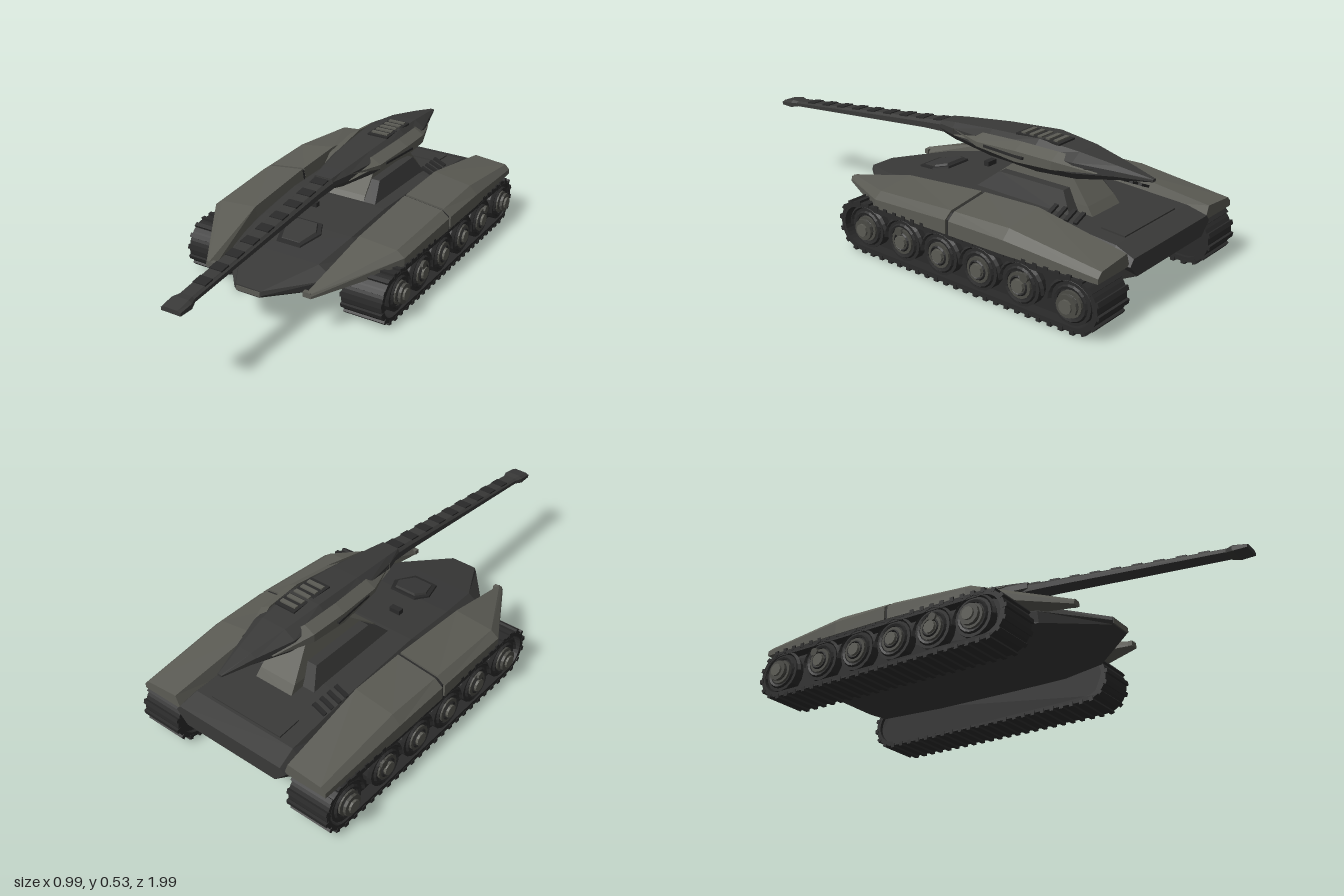
import * as THREE from 'three';

const paint = (name, color) => {
  const m = new THREE.MeshStandardMaterial({ color, flatShading: true });
  m.name = name;
  return m;
};

export function createModel() {
  const armor = paint('olive grey armour', 0x5b5b54);
  const hullMat = paint('dark grey hull', 0x393938);
  const trackMat = paint('black track', 0x2a2a2a);
  const steel = paint('wheel steel', 0x4a4a45);
  const model = new THREE.Group();

  const add = (name, geo, mat, x = 0, y = 0, z = 0, parent = model) => {
    const m = new THREE.Mesh(geo, mat);
    m.name = name;
    m.position.set(x, y, z);
    parent.add(m);
    return m;
  };
  const box = (w, h, d) => new THREE.BoxGeometry(w, h, d);

  // Skin a closed solid through convex rings; faces are turned outward by the sign of the volume.
  const loft = (rings) => {
    const tris = [], n = rings[0].length, last = rings.length - 1;
    for (let r = 0; r < last; r++) for (let i = 0; i < n; i++) {
      const j = (i + 1) % n, a = rings[r][i], b = rings[r][j], c = rings[r + 1][j], d = rings[r + 1][i];
      tris.push([a, b, c], [a, c, d]);
    }
    for (let i = 1; i < n - 1; i++) {
      tris.push([rings[0][0], rings[0][i + 1], rings[0][i]]);
      tris.push([rings[last][0], rings[last][i], rings[last][i + 1]]);
    }
    const o = new THREE.Vector3(...rings[0][0]);
    let volume = 0;
    for (const t of tris) {
      const [a, b, c] = t.map((p) => new THREE.Vector3(...p).sub(o));
      volume += a.dot(b.cross(c));
    }
    if (volume < 0) tris.forEach((t) => t.reverse());
    const g = new THREE.BufferGeometry();
    g.setAttribute('position', new THREE.Float32BufferAttribute(tris.flat(2), 3));
    g.computeVertexNormals();
    return g;
  };
  const rect = (x0, x1, z0, z1, y) => [[x0, y, z0], [x1, y, z0], [x1, y, z1], [x0, y, z1]];

  // Hull: z, bottom y / half width, side y / half width, deck y / half width
  add('hull', loft([
    [-0.98, 0.165, 0.22, 0.215, 0.27, 0.24, 0.25],
    [-0.90, 0.13, 0.24, 0.22, 0.28, 0.265, 0.24],
    [-0.60, 0.13, 0.27, 0.20, 0.28, 0.285, 0.23],
    [-0.20, 0.13, 0.28, 0.20, 0.28, 0.29, 0.22],
    [0.05, 0.13, 0.28, 0.20, 0.28, 0.265, 0.21],
    [0.25, 0.135, 0.24, 0.18, 0.25, 0.225, 0.18],
    [0.47, 0.145, 0.05, 0.158, 0.065, 0.175, 0.058],
  ].map(([z, yb, b, ym, m, yt, t]) => [
    [-b, yb, z], [b, yb, z], [m, ym, z], [t, yt, z], [-t, yt, z], [-m, ym, z],
  ])), hullMat);
  add('nosePlate', box(0.11, 0.02, 0.008), armor, 0, 0.16, 0.469);
  add('rearDeckPanel', box(0.34, 0.008, 0.1), hullMat, 0, 0.271, -0.84).rotation.x = -0.066;

  // Driver hatch lying on the sloping front deck
  const hatch = (s, lift) => [[-0.06, 0.03], [0.06, 0.03], [0.09, 0.09], [0.055, 0.19], [-0.055, 0.19], [-0.09, 0.09]]
    .map(([x, z]) => [x * s, 0.275 - 0.2 * z + lift, 0.11 + (z - 0.11) * s]);
  add('hatchFrame', loft([hatch(1.05, -0.01), hatch(1, 0.007)]), trackMat);
  add('hatch', loft([hatch(0.85, 0), hatch(0.78, 0.013)]), hullMat);

  // Fenders: z, outer x, low y, outer y, shoulder x/y, ridge x/y, inner x
  const fender = [
    [-0.97, 0.45, 0.215, 0.235, 0.43, 0.255, 0.28, 0.268, 0.26],
    [-0.58, 0.465, 0.21, 0.265, 0.43, 0.30, 0.26, 0.326, 0.225],
    [-0.325, 0.465, 0.21, 0.265, 0.43, 0.293, 0.255, 0.316, 0.235],
    [-0.31, 0.465, 0.21, 0.265, 0.43, 0.293, 0.255, 0.316, 0.235],
    [0.06, 0.455, 0.205, 0.245, 0.42, 0.27, 0.25, 0.285, 0.235],
    [0.41, 0.246, 0.17, 0.18, 0.24, 0.188, 0.228, 0.195, 0.21],
  ];
  const fenderRing = (s, drop = 0) => ([z, xo, yl, yo, xs, ys, xr, yr, xi]) => [
    [s * (xo - drop), yl, z], [s * (xo - drop), yo, z], [s * xs, ys - drop, z],
    [s * xr, yr - drop, z], [s * xi, yl, z],
  ];

  // Track path around the two end wheels
  const R = 0.1, CY = 0.11, ZF = 0.145, ZR = -0.88;
  const stadium = (r) => {
    const s = new THREE.Shape();
    s.absarc(ZF, CY, r, -Math.PI / 2, Math.PI / 2, false);
    s.absarc(ZR, CY, r, Math.PI / 2, Math.PI * 1.5, false);
    s.closePath();
    return s;
  };
  const extrudeX = (shape, depth) => new THREE.ExtrudeGeometry(shape, { depth, bevelEnabled: false, curveSegments: 8 })
    .rotateY(-Math.PI / 2).translate(depth / 2, 0, 0); // shape x becomes z
  const beltShape = stadium(R);
  beltShape.holes.push(stadium(R - 0.02));
  const belt = extrudeX(beltShape, 0.18), core = extrudeX(stadium(R - 0.015), 0.12);
  const disc = (r, w, seg = 16) => new THREE.CylinderGeometry(r, r, w, seg).rotateZ(Math.PI / 2);
  const straight = ZF - ZR, arc = Math.PI * R, total = 2 * (straight + arc);

  const addTrack = (s, side) => {
    const g = new THREE.Group();
    g.name = side + 'Track';
    model.add(g);
    add('belt', belt, trackMat, s * 0.37, 0, 0, g);
    add('trackCore', core, trackMat, s * 0.355, 0, 0, g);
    const count = 56;
    for (let i = 0; i < count; i++) {
      // Walk along bottom, front arc, top, rear arc
      let d = (i / count) * total, z, y, a;
      if (d < straight) { z = ZR + d; a = -Math.PI / 2; y = CY - R; }
      else if ((d -= straight) < arc) { a = -Math.PI / 2 + d / R; z = ZF + R * Math.cos(a); y = CY + R * Math.sin(a); }
      else if ((d -= arc) < straight) { z = ZF - d; a = Math.PI / 2; y = CY + R; }
      else { a = Math.PI / 2 + (d - straight) / R; z = ZR + R * Math.cos(a); y = CY + R * Math.sin(a); }
      add('cleat', box(0.184, 0.03, 0.018), trackMat, s * 0.37, y, z, g).rotation.x = -a;
      g.children[g.children.length - 1].scale.y = 0.62;
      g.children[g.children.length - 1].rotation.x = Math.PI / 2 - a;
    }
    // Road wheels; the end pair carry longer hubs
    [0.1, -0.09, -0.278, -0.466, -0.654, -0.87].forEach((z, i) => {
      const end = i === 0 || i === 5;
      add('wheel', disc(0.082, 0.05), trackMat, s * 0.43, 0.115, z, g);
      add('wheelRim', new THREE.TorusGeometry(0.062, 0.008, 5, 18).rotateY(Math.PI / 2), trackMat, s * 0.457, 0.115, z, g);
      add('wheelDisc', disc(0.05, 0.02), steel, s * 0.456, 0.115, z, g);
      add('hubRing', new THREE.TorusGeometry(0.034, 0.005, 4, 16).rotateY(Math.PI / 2), trackMat, s * 0.467, 0.115, z, g);
      add('hub', disc(0.026, end ? 0.04 : 0.024, 10), armor, s * (end ? 0.474 : 0.466), 0.115, z, g);
      if (end) add('hubFlange', disc(0.043, 0.012, 12), steel, s * 0.479, 0.115, z, g);
      add('wheelArch', new THREE.TorusGeometry(0.094, 0.009, 4, 12, Math.PI).rotateY(Math.PI / 2), trackMat, s * 0.452, 0.105, z, g);
    });
    for (const z of [-0.08, -0.68]) add('returnRoller', disc(0.018, 0.05, 8), steel, s * 0.45, 0.155, z, g);
  };

  for (const [s, side] of [[1, 'left'], [-1, 'right']]) {
    add(side + 'RearFender', loft(fender.slice(0, 3).map(fenderRing(s))), armor);
    add(side + 'FenderSeam', loft(fender.slice(2, 4).map(fenderRing(s, 0.008))), trackMat);
    add(side + 'FrontFender', loft(fender.slice(3).map(fenderRing(s))), armor);
    add(side + 'FenderTipLamp', box(0.034, 0.02, 0.02), armor, s * 0.225, 0.182, 0.4);
    for (let i = 0; i < 4; i++)
      add(side + 'CoolingFin', box(0.06, 0.01, 0.016), trackMat, s * 0.212, 0.307, -0.725 + i * 0.04).rotation.z = -s * 0.4;
    addTrack(s, side);
  }

  // Turret pedestal with side pods, set slightly off centre
  add('pedestal', loft([rect(-0.065, 0.115, -0.72, -0.2, 0.27), rect(-0.06, 0.11, -0.69, -0.23, 0.31),
    rect(-0.03, 0.09, -0.59, -0.37, 0.42)]), armor);
  for (const s of [-1, 1])
    add('pedestalPod', loft([rect(0.025 + s * 0.08, 0.025 + s * 0.15, -0.66, -0.19, 0.27),
      rect(0.025 + s * 0.07, 0.025 + s * 0.115, -0.6, -0.3, 0.36)]), hullMat);
  add('deckPeriscope', box(0.05, 0.02, 0.025), trackMat, -0.06, 0.29, -0.09);

  const turret = new THREE.Group();
  turret.name = 'turret';
  turret.position.x = 0.063;
  model.add(turret);

  // Turret body: z, top y / half width, side half width / upper y / lower y, bottom y / half width
  add('turretBody', loft([
    [0.03, 0.485, 0.038, 0.045, 0.472, 0.455, 0.442, 0.038],
    [-0.05, 0.495, 0.045, 0.065, 0.475, 0.45, 0.425, 0.045],
    [-0.25, 0.515, 0.06, 0.10, 0.485, 0.44, 0.41, 0.07],
    [-0.48, 0.53, 0.07, 0.115, 0.49, 0.44, 0.405, 0.08],
    [-0.65, 0.515, 0.055, 0.10, 0.485, 0.445, 0.415, 0.07],
    [-0.80, 0.49, 0.03, 0.05, 0.475, 0.455, 0.437, 0.03],
    [-0.93, 0.465, 0.006, 0.01, 0.463, 0.457, 0.454, 0.006],
  ].map(([z, yt, t, m, y1, y2, yb, b]) => [
    [-b, yb, z], [b, yb, z], [m, y2, z], [m, y1, z], [t, yt, z], [-t, yt, z], [-m, y1, z], [-m, y2, z],
  ])), hullMat, 0, 0, 0, turret);

  // Armoured cheeks with a dark slit
  for (const s of [-1, 1]) {
    add('turretCheek', loft([
      [-0.06, 0.07, 0.458, 0.475], [-0.22, 0.122, 0.435, 0.498], [-0.42, 0.14, 0.425, 0.512],
      [-0.58, 0.132, 0.43, 0.508], [-0.74, 0.075, 0.455, 0.482],
    ].map(([z, x, yb, yt]) => [
      [s * (x - 0.045), yb, z], [s * x, yb + 0.02, z], [s * x, yt - 0.025, z], [s * (x - 0.045), yt, z],
    ])), armor, 0, 0, 0, turret);
    add('cheekSlit', box(0.01, 0.01, 0.2), trackMat, s * 0.133, 0.467, -0.36, turret).rotation.y = -s * 0.09;
  }
  add('ventFrame', box(0.095, 0.008, 0.2), trackMat, 0.02, 0.525, -0.47, turret);
  for (let i = 0; i < 5; i++)
    add('ventSlat', box(0.075, 0.01, 0.018), armor, 0.02, 0.53, -0.545 + i * 0.037, turret);

  // Flat tapering barrel with raised rungs and a flared muzzle
  const slab = (z, w, y0, y1) => [[-w, y0, z], [w, y0, z], [w, (y0 + 2 * y1) / 3, z], [w * 0.7, y1, z], [-w * 0.7, y1, z], [-w, (y0 + 2 * y1) / 3, z]];
  add('barrel', loft([slab(-0.05, 0.046, 0.445, 0.49), slab(0.12, 0.04, 0.435, 0.47), slab(0.93, 0.033, 0.36, 0.38)]), hullMat, 0, 0, 0, turret);
  for (let i = 0; i < 9; i++) {
    const z = 0.06 + i * 0.095;
    add('barrelRung', box(0.062 - i * 0.001, 0.008, 0.045), trackMat, 0, 0.483 - 0.111 * z, z, turret).rotation.x = 0.11;
  }
  add('muzzle', loft([slab(0.91, 0.033, 0.36, 0.382), slab(0.94, 0.044, 0.354, 0.384), slab(1, 0.042, 0.354, 0.372)]), hullMat, 0, 0, 0, turret);

  return model;
}
